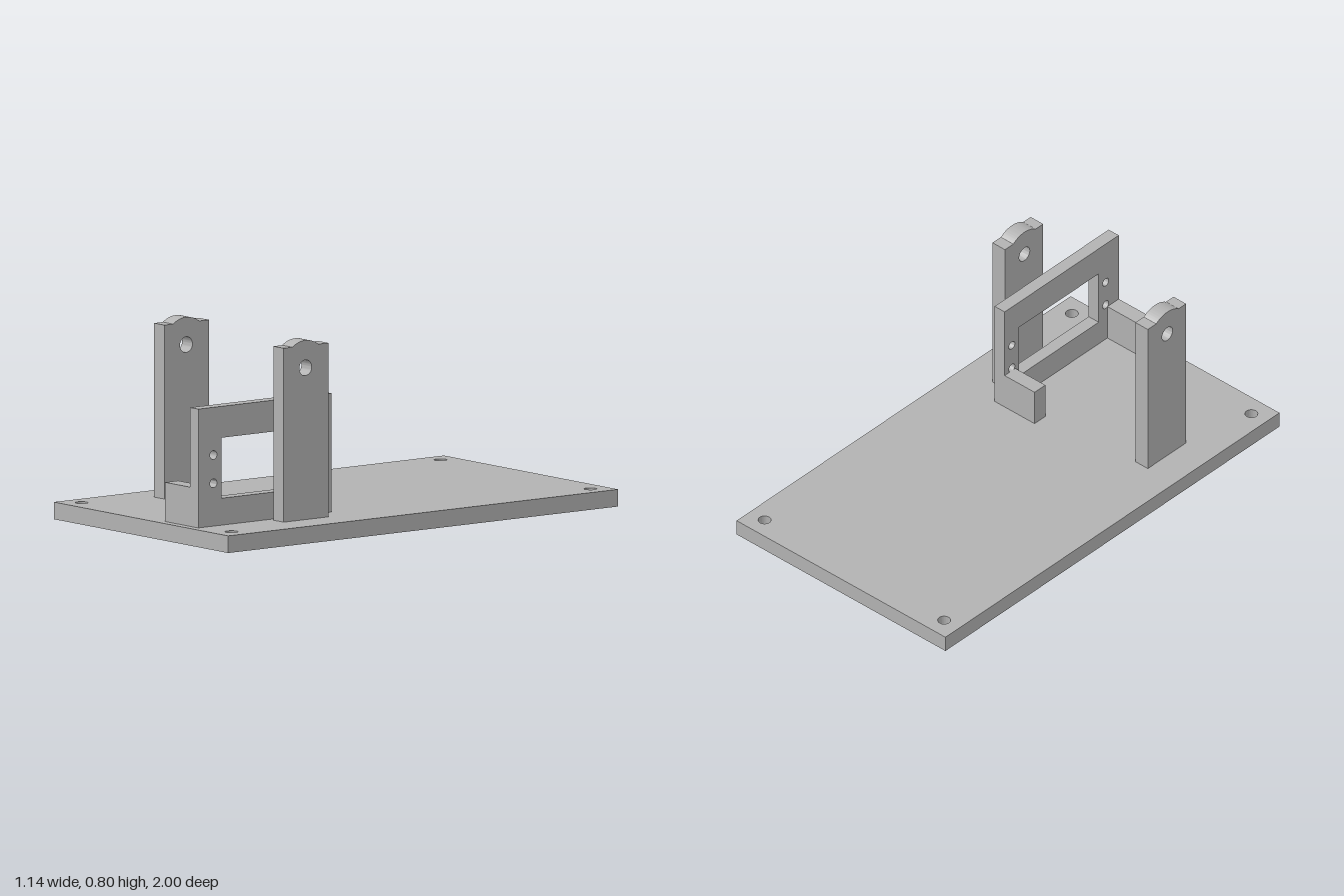
import * as THREE from 'three';
import { toCreasedNormals } from 'three/addons/utils/BufferGeometryUtils.js';

const BASE_TOP = 0.07;

function rectangle(x0, y0, x1, y1, Type = THREE.Shape) {
  return new Type([[x0, y0], [x1, y0], [x1, y1], [x0, y1]].map(([x, y]) => new THREE.Vector2(x, y)));
}

function drill(shape, x, y, r) {
  const hole = new THREE.Path();
  hole.absarc(x, y, r, 0, Math.PI * 2, true);
  shape.holes.push(hole);
}

function extrude(shape, depth) {
  return new THREE.ExtrudeGeometry(shape, { depth, bevelEnabled: false, curveSegments: 24 });
}

// Profile drawn as (-z, y), extruded from x0 to x1
function sidePlate(shape, x0, x1) {
  return toCreasedNormals(extrude(shape, x1 - x0).rotateY(Math.PI / 2).translate(x0, 0, 0), 0.6);
}

export function createModel() {
  const model = new THREE.Group();
  model.name = 'mountingBracketPlate';
  const grey = new THREE.MeshStandardMaterial({ color: 0xb2b2b2 });
  grey.name = 'grey';
  const add = (name, geometry, parent = model) => {
    const mesh = new THREE.Mesh(geometry, grey);
    mesh.name = name;
    parent.add(mesh);
  };

  // Base plate with four corner screw holes
  const base = rectangle(-0.57, -1, 0.57, 1);
  for (const x of [-0.49, 0.49]) for (const z of [-0.92, 0.92]) drill(base, x, z, 0.026);
  add('basePlate', toCreasedNormals(extrude(base, BASE_TOP).rotateX(-Math.PI / 2), 0.6));

  // Pivot posts: a crown concentric with the hole rises above flat shoulders
  const pivotU = -0.488, pivotY = 0.69, crownR = 0.112, shoulderY = 0.78;
  const angle = Math.asin((shoulderY - pivotY) / crownR);
  const post = new THREE.Shape();
  post.moveTo(-0.6, BASE_TOP);
  post.lineTo(-0.371, BASE_TOP);
  post.lineTo(-0.371, shoulderY);
  post.absarc(pivotU, pivotY, crownR, angle, Math.PI - angle, false);
  post.lineTo(-0.6, shoulderY);
  post.closePath();
  drill(post, pivotU, pivotY, 0.032);
  add('rightPost', sidePlate(post, -0.425, -0.357));
  add('leftPost', sidePlate(post, 0.355, 0.423));

  // Motor bracket: windowed plate with two pairs of screw holes
  const bracket = new THREE.Group();
  bracket.name = 'motorBracket';
  model.add(bracket);
  const frame = rectangle(-0.965, BASE_TOP, -0.282, 0.555);
  frame.holes.push(rectangle(-0.845, 0.18, -0.367, 0.427, THREE.Path));
  for (const z of [0.887, 0.325]) for (const y of [0.245, 0.36]) drill(frame, -z, y, 0.018);
  add('bracketFrame', sidePlate(frame, 0.275, 0.33), bracket);

  // Bracket feet
  for (const [name, z0, z1] of [['backFoot', 0.282, 0.346], ['frontFoot', 0.897, 0.965]]) {
    add(name, new THREE.BoxGeometry(0.163, 0.16, z1 - z0)
      .translate(0.1935, BASE_TOP + 0.08, (z0 + z1) / 2), bracket);
  }
  return model;
}
